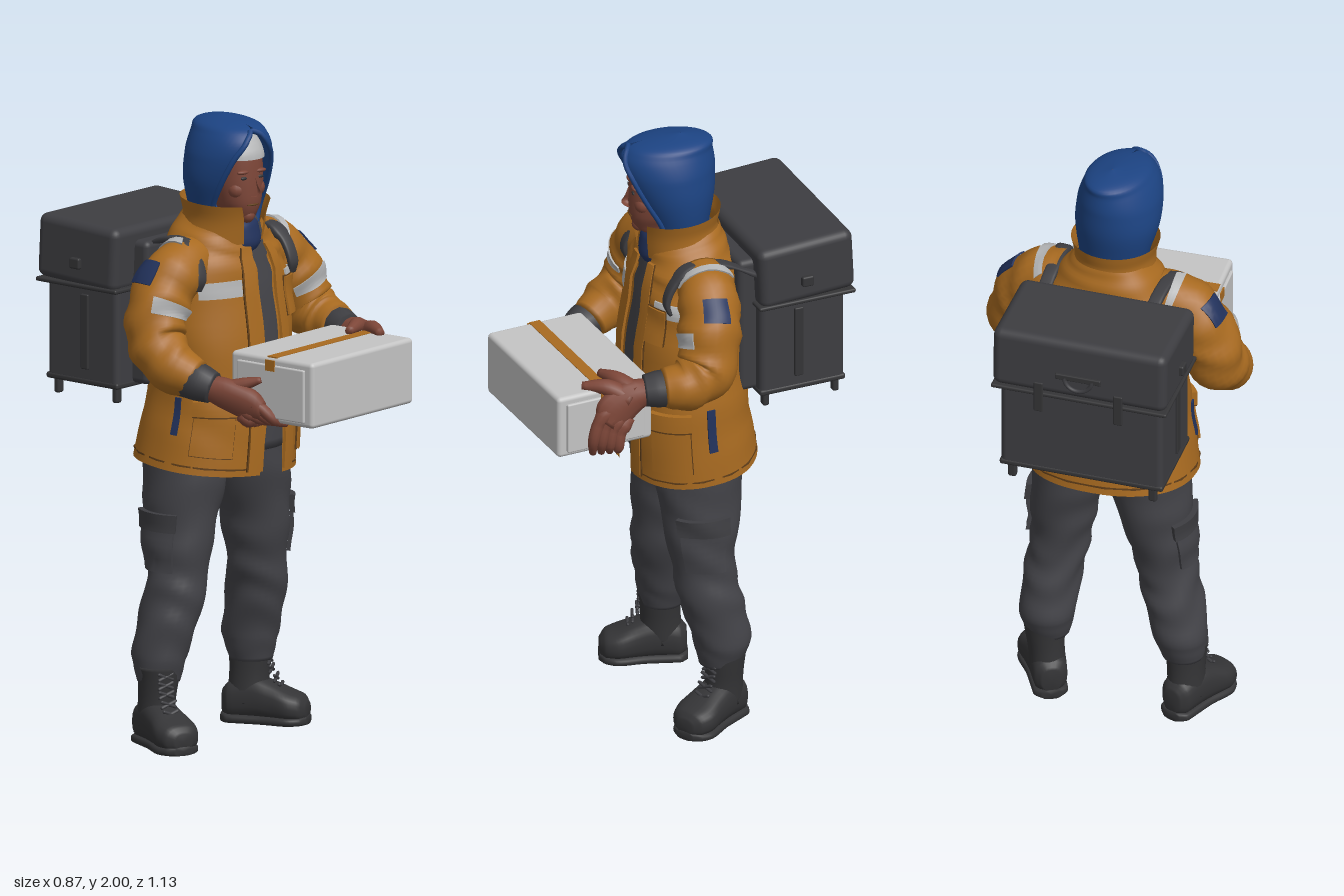
import * as THREE from 'three';
import { toCreasedNormals } from 'three/addons/utils/BufferGeometryUtils.js';
import { RoundedBoxGeometry } from 'three/addons/geometries/RoundedBoxGeometry.js';

const V = (x, y, z) => new THREE.Vector3(x, y, z);
const X = V(1, 0, 0), Y = V(0, 1, 0), Z = V(0, 0, 1);
const mat = (name, color, side = THREE.FrontSide) => {
  const m = new THREE.MeshStandardMaterial({ color, side });
  m.name = name;
  return m;
};

// Surface through sections [x, y, z, rx, rz, gap]; returns a point for (u, angle, offset)
// With axis set, all sections stay square to it instead of following the path
function surface(sections, { ref = Z, power = 1, wrinkle = 0, axis } = {}) {
  const path = new THREE.CatmullRomCurve3(sections.map(s => V(s[0], s[1], s[2])));
  const size = new THREE.CatmullRomCurve3(sections.map(s => V(s[3], s[4] ?? s[3], s[5] ?? 0)));
  const bend = v => Math.sign(v) * Math.abs(v) ** power;
  const at = (u, a, off = 0) => {
    const T = axis ?? path.getTangent(u), r = size.getPoint(u);
    const U = T.clone().cross(ref).normalize(), W = U.clone().cross(T);
    const o = off + wrinkle * Math.sin(u * 34 + 2.2 * Math.sin(a + 1) + 1.5 * Math.sin(2 * a + u * 9)) * Math.sin(Math.PI * u);
    return path.getPoint(u).addScaledVector(U, (r.x + o) * bend(Math.sin(a))).addScaledVector(W, (r.y + o) * bend(Math.cos(a)));
  };
  at.gap = u => Math.max(0, size.getPoint(u).z);
  at.uAt = y => {
    let lo = 0, hi = 1;
    for (let i = 0; i < 24; i++) { const m = (lo + hi) / 2; if (path.getPoint(m).y < y) lo = m; else hi = m; }
    return lo;
  };
  return at;
}

function indexed(points, index) {
  const g = new THREE.BufferGeometry().setFromPoints(points);
  g.setIndex(index);
  g.computeVertexNormals();
  return g;
}

// Closed skin around a surface, with end caps
function skin(at, rows = 24, cols = 24) {
  const p = [], idx = [];
  for (let i = 0; i <= rows; i++) for (let j = 0; j < cols; j++) p.push(at(i / rows, j / cols * Math.PI * 2));
  const id = (i, j) => i * cols + j % cols, mid = [0, rows].map(i => {
    const c = V(0, 0, 0);
    for (let j = 0; j < cols; j++) c.addScaledVector(p[id(i, j)], 1 / cols);
    return p.push(c) - 1;
  });
  for (let j = 0; j < cols; j++) {
    for (let i = 0; i < rows; i++) idx.push(id(i, j), id(i, j + 1), id(i + 1, j + 1), id(i, j), id(i + 1, j + 1), id(i + 1, j));
    idx.push(mid[0], id(0, j + 1), id(0, j), mid[1], id(rows, j), id(rows, j + 1));
  }
  return indexed(p, idx);
}

// Sheet over a surface: the angle range may change with u
function sheet(at, us, angles) {
  const p = [], idx = [], n = angles.length;
  us.forEach(([u, o]) => angles.forEach(([t, k]) => p.push(at(u, t(u), o * k))));
  for (let i = 0; i < us.length - 1; i++) for (let j = 0; j < n - 1; j++) {
    const a = i * n + j;
    idx.push(a, a + 1, a + n + 1, a, a + n + 1, a + n);
  }
  return indexed(p, idx);
}
const openShell = (at, center, rows, cols) => sheet(at, Array.from({ length: rows + 1 }, (_, i) => [i / rows, 0]),
  Array.from({ length: cols + 1 }, (_, j) => [u => center + at.gap(u) + (2 * Math.PI - 2 * at.gap(u)) * j / cols, 1]));
// Raised plate with closed edges
function plate(at, u0, u1, a0, a1, off = 0.006) {
  const n = 8, us = [[u0, 0]], as = [[() => a0, 0]];
  for (let i = 0; i <= n; i++) { us.push([u0 + (u1 - u0) * i / n, off]); as.push([() => a0 + (a1 - a0) * i / n, 1]); }
  us.push([u1, 0]); as.push([() => a1, 0]);
  return toCreasedNormals(sheet(at, us, as), 0.6);
}

export function createModel() {
  const root = new THREE.Group();
  const jacketM = mat('jacket orange', 0xa86a20, THREE.DoubleSide), trim = mat('seam brown', 0x5f3d18);
  const blue = mat('hood blue', 0x1c4382, THREE.DoubleSide), navy = mat('navy', 0x22325c);
  const cloth = mat('trouser grey', 0x434348), pack = mat('pack grey', 0x3d3d41), boot = mat('boot charcoal', 0x343436);
  const skinM = mat('skin', 0x7d4638), parcelM = mat('parcel grey', 0xc4c4c4), silver = mat('silver', 0xb4b5b6);
  const add = (parent, name, geo, m, x = 0, y = 0, z = 0) => {
    const mesh = new THREE.Mesh(geo, m);
    mesh.name = name; mesh.position.set(x, y, z); parent.add(mesh);
    return mesh;
  };
  const group = (name, x = 0, y = 0, z = 0, ry = 0) => {
    const g = new THREE.Group();
    g.name = name; g.position.set(x, y, z); g.rotation.y = ry; root.add(g);
    return g;
  };
  const limb = (parent, name, secs, m, opt, rows, cols) => {
    const at = surface(secs, opt);
    add(parent, name, skin(at, rows, cols), m);
    return at;
  };

  // Jacket with open front, over a shirt
  const torso = group('jacket', 0, 0, 0, 0.13), c = 0.15;
  const secs = [[-0.01, 0.885, -0.05, 0.272, 0.215, 0.17], [0, 1.05, -0.035, 0.255, 0.2, 0.13], [0, 1.25, -0.03, 0.237, 0.185, 0.12],
    [0, 1.45, -0.035, 0.235, 0.168, 0.12], [0, 1.56, -0.04, 0.205, 0.15, 0.14], [0, 1.63, -0.035, 0.155, 0.13, 0.25], [0, 1.67, -0.03, 0.12, 0.12, 0.4]];
  const coat = surface(secs, { power: 0.88, wrinkle: 0.004 });
  add(torso, 'jacketBody', openShell(coat, c, 36, 56), jacketM);
  limb(torso, 'shirt', secs.map(s => [s[0], Math.max(s[1], 0.94), s[2], s[3] - 0.014, s[4] - 0.014]), cloth, { power: 0.88, axis: Y });
  const onCoat = (name, m, y0, y1, a0, a1, off) => add(torso, name, plate(coat, coat.uAt(y0), coat.uAt(y1), a0, a1, off), m);
  onCoat('chestBandRight', silver, 1.435, 1.483, -0.95, -0.22, 0.006);
  onCoat('chestBandLeft', silver, 1.44, 1.485, 0.62, 1.15, 0.006);
  for (const s of [-1, 1]) {
    const span = (a, b) => [c + s * a, c + s * b].sort((p, q) => p - q);
    onCoat('hemSeam', trim, 0.905, 0.91, ...span(0.2, Math.PI), 0.004);
    onCoat('placket', jacketM, 0.9, 1.6, ...span(0.16, 0.34), 0.009);
    onCoat('placketSeam', trim, 0.9, 1.6, ...span(0.34, 0.355), 0.005);
    onCoat('pocketEdge', trim, 0.942, 1.122, ...span(0.565, 1.195), 0.005);
    onCoat('pocket', jacketM, 0.946, 1.12, ...span(0.58, 1.18), 0.012);
    onCoat('pocketFlapEdge', trim, 1.071, 1.076, ...span(0.56, 1.2), 0.016);
    onCoat('pocketFlap', jacketM, 1.076, 1.125, ...span(0.55, 1.21), 0.018);
    onCoat('sidePocketZip', navy, 1.0, 1.13, ...span(1.42, 1.52), 0.006);
  }
  onCoat('chestPocketEdge', trim, 1.347, 1.468, 0.5, 0.88, 0.008);
  onCoat('chestPocket', jacketM, 1.35, 1.465, 0.515, 0.865, 0.014);
  const collarAt = surface([[0, 1.6, -0.03, 0.135, 0.13, 0.3], [0, 1.66, -0.03, 0.128, 0.132, 0.38], [0, 1.715, -0.035, 0.14, 0.145, 0.5]]);
  const collar = add(torso, 'collar', openShell(collarAt, 0.1, 8, 36), jacketM, 0, 0.03, -0.235);
  collar.rotation.x = 0.15;

  // Sleeves, cuffs and hands
  const hands = group('hands'), sleeves = group('sleeves');
  const armOpt = { ref: X, wrinkle: 0.006 };
  const armR = limb(sleeves, 'sleeveRight', [[-0.13, 1.55, 0, 0.08], [-0.225, 1.52, 0.025, 0.094], [-0.295, 1.43, 0.035, 0.098],
    [-0.325, 1.32, 0.06, 0.092], [-0.315, 1.25, 0.135, 0.083], [-0.275, 1.215, 0.205, 0.062]], jacketM, armOpt, 40);
  const armL = limb(sleeves, 'sleeveLeft', [[0.14, 1.56, -0.06, 0.08], [0.23, 1.525, -0.07, 0.095], [0.3, 1.43, -0.06, 0.098],
    [0.34, 1.33, -0.04, 0.09], [0.36, 1.295, 0.025, 0.082], [0.36, 1.29, 0.1, 0.062]], jacketM, armOpt, 40);
  for (const [at, mid, s] of [[armR, Math.PI, -1], [armL, 0, 1]]) {
    const arc = (a, b) => [mid + s * a, mid + s * b].sort((p, q) => p - q);
    add(sleeves, 'sleeveBand', plate(at, 0.4, 0.465, ...arc(0.75, 2.3)), silver);
    add(sleeves, 'shoulderBand', plate(at, 0.1, 0.14, ...arc(-1.4, 1.0)), silver);
    add(sleeves, 'shoulderPatch', plate(at, 0.25, 0.35, ...arc(-0.42, 0.42)), navy);
  }
  const tube = (name, pts, m, parent) => limb(parent, name, pts, m, { ref: X }, 12, 12);
  tube('cuffRight', [[-0.295, 1.22, 0.175, 0.062], [-0.275, 1.21, 0.22, 0.06], [-0.25, 1.195, 0.26, 0.05]], pack, sleeves);
  tube('cuffLeft', [[0.36, 1.29, 0.08, 0.06], [0.357, 1.288, 0.12, 0.058], [0.354, 1.285, 0.16, 0.05]], pack, sleeves);
  tube('palmRight', [[-0.26, 1.2, 0.24, 0.038], [-0.225, 1.18, 0.29, 0.052, 0.038], [-0.18, 1.15, 0.35, 0.055, 0.034], [-0.15, 1.13, 0.385, 0.03]], skinM, hands);
  tube('palmLeft', [[0.355, 1.285, 0.14, 0.038], [0.365, 1.275, 0.2, 0.056, 0.04], [0.378, 1.235, 0.26, 0.066, 0.034], [0.386, 1.2, 0.29, 0.04, 0.03]], skinM, hands);
  for (let i = 0; i < 4; i++) {
    tube('fingerRight', [[-0.2, 1.175 - i * 0.02, 0.33, 0.02], [-0.165, 1.145 - i * 0.017, 0.385 - i * 0.012, 0.02],
      [-0.13, 1.105 - i * 0.004, 0.42 - i * 0.025, 0.018], [-0.085, 1.087, 0.42 - i * 0.025, 0.011]], skinM, hands);
    tube('fingerLeft', [[0.38, 1.265 - i * 0.018, 0.26 - i * 0.015, 0.021], [0.392, 1.21 - i * 0.013, 0.31 - i * 0.022, 0.021],
      [0.396, 1.15 - i * 0.01, 0.33 - i * 0.026, 0.019], [0.378, 1.095, 0.33 - i * 0.027, 0.011]], skinM, hands);
  }
  tube('thumbRight', [[-0.22, 1.2, 0.3, 0.024], [-0.185, 1.215, 0.34, 0.02], [-0.155, 1.23, 0.38, 0.01]], skinM, hands);
  tube('thumbLeft', [[0.37, 1.29, 0.19, 0.034], [0.325, 1.318, 0.24, 0.026], [0.262, 1.315, 0.283, 0.013]], skinM, hands);
  tube('forefingerLeft', [[0.375, 1.27, 0.21, 0.036], [0.355, 1.31, 0.28, 0.027], [0.332, 1.312, 0.355, 0.013]], skinM, hands);

  // Parcel with a tape strip on top
  const parcel = group('parcel', 0.11, 1.2, 0.347, 0.25);
  add(parcel, 'wrappedBox', new RoundedBoxGeometry(0.505, 0.21, 0.33, 4, 0.014), parcelM);
  add(parcel, 'tapeTop', new THREE.BoxGeometry(0.5, 0.004, 0.038), jacketM, 0, 0.105, 0);
  for (const s of [-1, 1]) {
    add(parcel, 'tapeEnd', new THREE.BoxGeometry(0.004, 0.035, 0.038), jacketM, s * 0.261, 0.08, 0);
    add(parcel, 'endFold', new RoundedBoxGeometry(0.014, 0.17, 0.27, 2, 0.005), parcelM, s * 0.254, -0.004, 0);
  }

  // Head and face
  const head = group('head'), level = { axis: Y };
  const headAt = limb(head, 'face', [[0, 1.57, -0.02, 0.06], [0, 1.65, 0, 0.058], [0, 1.68, 0.05, 0.046, 0.062], [0, 1.73, 0.048, 0.067, 0.085],
    [0, 1.8, 0.04, 0.079, 0.094], [0, 1.88, 0.03, 0.08, 0.098], [0, 1.94, 0.02, 0.06, 0.07], [0, 1.96, 0.01, 0.02]], skinM, { power: 0.92, axis: Y }, 32, 28);
  limb(head, 'nose', [[0, 1.825, 0.125, 0.009], [0, 1.79, 0.134, 0.013], [0, 1.768, 0.14, 0.02, 0.018], [0, 1.755, 0.132, 0.012]], skinM, level, 10, 12);
  for (const s of [-1, 1]) {
    add(head, 'cheek', new THREE.SphereGeometry(0.03, 14, 10), skinM, s * 0.037, 1.775, 0.095);
    add(head, 'eye', new THREE.SphereGeometry(0.009, 10, 8).scale(1.4, 0.6, 0.5), boot, s * 0.032, 1.815, 0.127);
    add(head, 'brow', new THREE.SphereGeometry(0.014, 12, 8).scale(1.7, 0.5, 0.7), skinM, s * 0.033, 1.834, 0.124);
  }
  add(head, 'mouth', new THREE.SphereGeometry(0.01, 12, 8).scale(2.3, 0.35, 0.5), trim, 0, 1.728, 0.131);
  add(head, 'chin', new THREE.SphereGeometry(0.025, 12, 10), skinM, 0, 1.69, 0.1);
  add(head, 'hair', plate(headAt, headAt.uAt(1.872), headAt.uAt(1.94), -1.4, 1.4, 0.008), silver);

  // Hood with rim, and the neck scarf
  const hoodAt = surface([[0, 1.62, -0.02, 0.1, 0.09, 0.8], [0, 1.7, -0.02, 0.117, 0.1, 0.9], [-0.005, 1.8, -0.005, 0.135, 0.133, 0.74],
    [-0.005, 1.88, 0.01, 0.13, 0.15, 0.6], [-0.003, 1.945, 0.012, 0.106, 0.145, 0.3], [0, 1.98, -0.01, 0.072, 0.105, 0], [0, 1.996, -0.03, 0.001, 0.001, 0]], level);
  add(head, 'hood', openShell(hoodAt, 0, 40, 40), blue);
  const rim = [];
  for (let i = -16; i <= 16; i++) { const u = (1 - Math.abs(i) / 16) * 0.76; rim.push(hoodAt(u, (i < 0 ? 1 : -1) * hoodAt.gap(u))); }
  add(head, 'hoodRim', new THREE.TubeGeometry(new THREE.CatmullRomCurve3(rim), 80, 0.009, 8), blue);
  limb(head, 'scarf', [[0.01, 1.55, 0.01, 0.06, 0.07], [0.01, 1.6, 0.005, 0.09, 0.1], [0, 1.65, 0, 0.095, 0.095], [0, 1.68, 0, 0.075, 0.07]], navy, level, 14);

  // Trousers
  const trousers = group('trousers');
  add(trousers, 'seat', new THREE.SphereGeometry(0.15, 24, 16).scale(1.45, 0.75, 1.05), cloth, -0.01, 0.97, -0.05);
  const legs = [
    [-1, [[-0.125, 0.98, -0.05, 0.13, 0.15], [-0.14, 0.84, -0.04, 0.125, 0.142], [-0.168, 0.68, -0.03, 0.105, 0.12], [-0.185, 0.54, -0.015, 0.095, 0.1],
      [-0.213, 0.42, -0.02, 0.094, 0.1], [-0.245, 0.29, -0.03, 0.086, 0.09], [-0.252, 0.21, -0.025, 0.068]]],
    [1, [[0.115, 0.98, -0.06, 0.13, 0.15], [0.13, 0.84, -0.06, 0.122, 0.14], [0.152, 0.68, -0.065, 0.104, 0.118], [0.165, 0.54, -0.07, 0.094, 0.1],
      [0.178, 0.42, -0.095, 0.092, 0.1], [0.18, 0.29, -0.125, 0.088, 0.092], [0.18, 0.21, -0.12, 0.068]]]];
  for (const [s, pts] of legs) {
    const at = limb(trousers, s < 0 ? 'legRight' : 'legLeft', pts, cloth, { wrinkle: 0.004, axis: V(0, -1, 0) }, 48, 28);
    const out = -s * (Math.PI / 2 - 0.1);
    add(trousers, 'cargoPocket', plate(at, 0.27, 0.47, out - 0.6, out + 0.6, 0.012), cloth);
    add(trousers, 'cargoFlap', plate(at, 0.26, 0.32, out - 0.65, out + 0.65, 0.018), pack);
  }

  // Boots
  for (const [name, x, z, yaw] of [['bootRight', -0.268, -0.005, -0.16], ['bootLeft', 0.19, -0.115, 0.68]]) {
    const b = group(name, x, 0, z, yaw);
    limb(b, 'foot', [[0, 0.07, -0.1, 0.03, 0.04], [0, 0.075, -0.075, 0.054, 0.062], [0, 0.085, 0, 0.06, 0.07], [0, 0.075, 0.06, 0.066, 0.062],
      [0, 0.063, 0.115, 0.074, 0.05], [0, 0.056, 0.155, 0.06, 0.042], [0, 0.05, 0.174, 0.03, 0.024]], boot, { ref: Y, power: 0.8, axis: Z });
    limb(b, 'sole', [[0, 0.018, -0.104, 0.03, 0.016], [0, 0.018, -0.08, 0.056, 0.017], [0, 0.018, 0.03, 0.06, 0.017], [0, 0.018, 0.115, 0.074, 0.017],
      [0, 0.019, 0.158, 0.058, 0.016], [0, 0.02, 0.176, 0.03, 0.014]], boot, { ref: Y, power: 0.65, axis: Z });
    limb(b, 'shaft', [[0, 0.07, -0.02, 0.058, 0.07], [0.004, 0.15, -0.018, 0.058, 0.064], [0.008, 0.22, -0.015, 0.064, 0.068], [0.008, 0.26, -0.015, 0.07, 0.072]], boot, level, 12);
    for (let i = 0; i < 5; i++) for (const s of [-1, 1]) {
      const y = 0.11 + i * 0.028, f = 0.05 + Math.max(0, 0.035 - i * 0.015);
      const lace = add(b, 'lace', new THREE.CapsuleGeometry(0.0055, 0.05, 3, 6), pack, 0, y + 0.012, f);
      lace.rotation.z = s * 1.2;
    }
  }

  // Backpack
  const bag = group('backpack', -0.108, 0, -0.338, 0.22);
  const box = (name, w, h, d, x, y, z, r = 0.01, m = pack) => add(bag, name, new RoundedBoxGeometry(w, h, d, 3, r), m, x, y, z);
  box('packBody', 0.53, 0.47, 0.29, 0, 1.365, 0.005, 0.02);
  box('packLid', 0.57, 0.205, 0.325, 0, 1.55, -0.005, 0.028).rotation.x = 0.05;
  box('lidEdge', 0.575, 0.014, 0.332, 0, 1.447, -0.003, 0.006, boot);
  box('baseEdge', 0.535, 0.02, 0.295, 0, 1.14, 0.005, 0.008, boot);
  box('backPad', 0.42, 0.46, 0.08, 0.02, 1.37, 0.17, 0.02);
  box('handlePlate', 0.15, 0.02, 0.012, 0, 1.535, -0.172, 0.004, boot);
  add(bag, 'handle', new THREE.TorusGeometry(0.045, 0.007, 8, 16, Math.PI), pack, 0, 1.535, -0.175).rotation.z = Math.PI;
  for (const s of [-1, 1]) {
    box('claspStrap', 0.03, 0.11, 0.01, s * 0.13, 1.44, -0.17, 0.004, boot);
    box('sideStrap', 0.014, 0.24, 0.03, s * 0.266, 1.3, 0.02, 0.004, boot);
    box('sideBuckle', 0.026, 0.035, 0.04, s * 0.286, 1.52, 0.0, 0.006, boot);
    for (const z of [-0.12, 0.12]) box('baseTab', 0.028, 0.08, 0.022, s * 0.23, 1.12, z, 0.008, boot);
  }

  // Shoulder straps
  const straps = group('shoulderStraps', 0, 0, 0, 0.13);
  for (const s of [-1, 1]) limb(straps, 'strap', [[s * 0.18, 1.55, -0.22, 0.01, 0.022], [s * 0.18, 1.6, -0.12, 0.01, 0.022], [s * 0.185, 1.615, -0.02, 0.011, 0.022],
    [s * 0.195, 1.58, 0.05, 0.011, 0.022], [s * 0.2, 1.51, 0.085, 0.01, 0.02], [s * 0.205, 1.47, 0.075, 0.006, 0.016]],
  pack, { ref: X, power: 0.6 }, 32, 16);

  return root;
}
